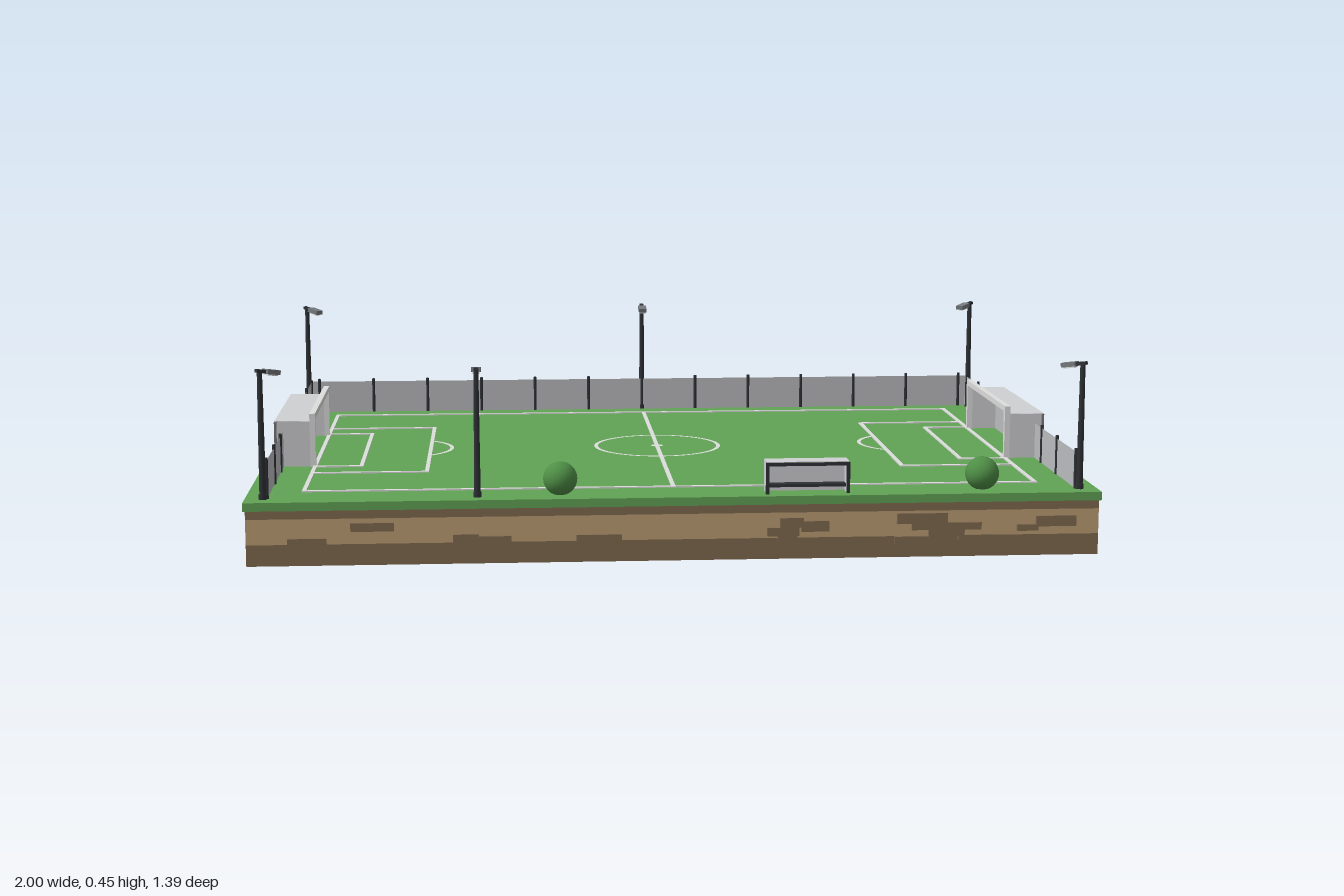
import * as THREE from 'three';

const mat = (name, color, side = THREE.FrontSide) => {
  const m = new THREE.MeshStandardMaterial({ color, side });
  m.name = name;
  return m;
};

export function createModel() {
  const root = new THREE.Group();
  root.name = 'footballPitch';
  const grass = mat('grass green', 0x62a355);
  const bushGreen = mat('bush green', 0x4f8f46);
  const soil = mat('dark soil', 0x826a50);
  const sand = mat('light soil', 0xbf9f76);
  const white = mat('line white', 0xdcdedc);
  const net = mat('net grey', 0xcfd0d2, THREE.DoubleSide);
  const fenceGrey = mat('fence grey', 0xbcbdc0, THREE.DoubleSide);
  const dark = mat('dark metal', 0x2e3135);
  const steel = mat('steel grey', 0x76797d);

  const group = (name, parent = root) => {
    const g = new THREE.Group();
    g.name = name;
    parent.add(g);
    return g;
  };
  const mesh = (parent, name, geo, material, x = 0, y = 0, z = 0) => {
    const m = new THREE.Mesh(geo, material);
    m.name = name;
    m.position.set(x, y, z);
    parent.add(m);
    return m;
  };
  // Box given by its minimum and maximum corners
  const box = (parent, name, material, x0, x1, y0, y1, z0, z1) =>
    mesh(parent, name, new THREE.BoxGeometry(x1 - x0, y1 - y0, z1 - z0), material,
      (x0 + x1) / 2, (y0 + y1) / 2, (z0 + z1) / 2);

  // Layered ground slab
  const G = 0.15;
  const ground = group('ground');
  box(ground, 'lowerSoil', soil, -0.995, 0.995, 0, 0.05, -0.687, 0.687);
  box(ground, 'middleSoil', sand, -0.995, 0.995, 0.05, 0.11, -0.687, 0.687);
  box(ground, 'upperSoil', soil, -0.995, 0.995, 0.11, 0.13, -0.687, 0.687);
  box(ground, 'turf', grass, -1, 1, 0.13, G, -0.692, 0.692);

  // Flat stones set in the long sides: x0, x1, y0, y1
  const stones = group('stones');
  const frontStones = [
    [-0.9, -0.81, 0.05, 0.065], [-0.755, -0.655, 0.08, 0.1], [-0.52, -0.46, 0.037, 0.07],
    [-0.46, -0.385, 0.05, 0.065], [-0.235, -0.13, 0.045, 0.065], [0.24, 0.295, 0.075, 0.098],
    [0.29, 0.355, 0.065, 0.09], [0.21, 0.285, 0.055, 0.075], [0.235, 0.28, 0.045, 0.06],
    [0.515, 0.635, 0.08, 0.105], [0.55, 0.715, 0.065, 0.082], [0.59, 0.675, 0.05, 0.068],
    [0.66, 0.74, 0.04, 0.052], [0.51, 0.6, 0.032, 0.05], [0.845, 0.94, 0.07, 0.095],
    [0.8, 0.85, 0.06, 0.075],
  ];
  const backStones = [
    [-0.88, -0.82, 0.05, 0.07], [-0.73, -0.675, 0.075, 0.095], [-0.52, -0.44, 0.045, 0.07],
    [-0.45, -0.385, 0.06, 0.085], [-0.2, -0.155, 0.06, 0.08], [0.21, 0.29, 0.055, 0.075],
    [0.27, 0.355, 0.07, 0.095], [0.52, 0.64, 0.08, 0.105], [0.56, 0.69, 0.06, 0.08],
    [0.65, 0.74, 0.045, 0.06], [0.775, 0.85, 0.055, 0.075], [0.84, 0.93, 0.07, 0.1],
  ];
  for (const s of frontStones) box(stones, 'frontStone', soil, ...s, 0.68, 0.695);
  for (const s of backStones) box(stones, 'backStone', soil, ...s, -0.695, -0.68);

  // Pitch markings
  const marks = group('pitchMarkings');
  const T = 0.005, top = G + 0.003;
  const lineX = (x0, x1, z) => box(marks, 'line', white, x0 - T, x1 + T, G, top, z - T, z + T);
  const lineZ = (x, z0, z1) => box(marks, 'line', white, x - T, x + T, G, top, z0 - T, z1 + T);
  const ring = (x, r0, r1, start = 0, len = Math.PI * 2) =>
    mesh(marks, 'curvedLine', new THREE.RingGeometry(r0, r1, 48, 1, start, len).rotateX(-Math.PI / 2),
      white, x, top, 0);
  lineZ(0, -0.564, 0.564);
  for (const z of [-0.564, 0.564]) lineX(-0.87, 0.87, z);
  ring(0, 0.155, 0.165);
  ring(0, 0, 0.016);
  for (const s of [-1, 1]) {
    lineZ(s * 0.87, -0.564, 0.564);
    for (const [x, z] of [[0.59, 0.33], [0.755, 0.242]]) {
      lineZ(s * x, -z, z);
      for (const e of [-z, z]) lineX(Math.min(s * x, s * 0.87), Math.max(s * x, s * 0.87), e);
    }
    const half = Math.acos(0.077 / 0.132);
    ring(s * 0.667, 0.127, 0.137, (s > 0 ? Math.PI : 0) - half, half * 2);
  }

  // Goals, built facing -x on the +x end and turned round for the other
  for (const s of [-1, 1]) {
    const goal = group(s > 0 ? 'leftGoal' : 'rightGoal');
    const W = 0.23;
    for (const z of [-W, W]) {
      box(goal, 'goalPost', white, 0.868, 0.882, G, 0.284, z - 0.007, z + 0.007);
      mesh(goal, 'sideNet', new THREE.PlaneGeometry(0.09, 0.113), net, 0.925, 0.2065, z);
      box(goal, 'backPost', steel, 0.964, 0.97, G, 0.263, z - 0.004, z + 0.004);
    }
    box(goal, 'crossbar', white, 0.868, 0.882, 0.27, 0.284, -W, W);
    mesh(goal, 'topNet', new THREE.PlaneGeometry(0.09, 2 * W).rotateX(-Math.PI / 2), net, 0.925, 0.264, 0);
    mesh(goal, 'backNet', new THREE.PlaneGeometry(2 * W, 0.113).rotateY(Math.PI / 2), net, 0.969, 0.2065, 0);
    box(goal, 'backBar', steel, 0.964, 0.97, 0.256, 0.263, -W, W);
    if (s < 0) goal.rotation.y = Math.PI;
  }

  // Fence along the back and both ends
  const fence = group('fence');
  const FX = 0.948, FZ = 0.642, H = 0.088;
  const postGeo = new THREE.CylinderGeometry(0.004, 0.004, 0.096, 8);
  const post = (x, z) => mesh(fence, 'fencePost', postGeo, dark, x, G + 0.048, z);
  mesh(fence, 'backFence', new THREE.PlaneGeometry(2 * FX, H), fenceGrey, 0, G + H / 2, -FZ);
  for (let i = -6; i <= 6; i++) post(i * 0.1545, -FZ);
  for (const s of [-1, 1]) {
    mesh(fence, 'endFence', new THREE.PlaneGeometry(2 * FZ, H).rotateY(Math.PI / 2), fenceGrey, s * FX, G + H / 2, 0);
    for (const z of [-0.62, -0.46, -0.305, 0.305, 0.46, 0.642]) post(s * FX, z);
  }

  // Floodlights; the head reaches along local +z
  const floodlight = (x, z, turn) => {
    const lamp = group('floodlight');
    mesh(lamp, 'pole', new THREE.CylinderGeometry(0.006, 0.008, 0.3, 10), dark, 0, G + 0.15, 0);
    mesh(lamp, 'poleFoot', new THREE.CylinderGeometry(0.01, 0.01, 0.012, 10), dark, 0, G + 0.006, 0);
    const head = group('lampHead', lamp);
    head.position.set(0, 0.449, 0);
    head.rotation.x = 0.17;
    box(head, 'arm', dark, -0.005, 0.005, -0.004, 0.004, -0.01, 0.03);
    box(head, 'housing', steel, -0.011, 0.011, -0.005, 0.006, 0.016, 0.054);
    box(head, 'lens', white, -0.008, 0.008, -0.008, -0.005, 0.02, 0.05);
    lamp.position.set(x, 0, z);
    lamp.rotation.y = turn;
  };
  for (const sx of [-1, 1]) for (const sz of [-1, 1])
    floodlight(sx * 0.957, sz * 0.647, Math.atan2(-sx, -sz));
  floodlight(0, -0.65, 0);
  floodlight(-0.463, 0.65, Math.PI);

  // Bushes
  for (const x of [-0.27, 0.728])
    mesh(root, 'bush', new THREE.SphereGeometry(0.04, 24, 16), bushGreen, x, 0.186, 0.625);

  // Team shelter with its open side to the front
  const shelter = group('shelter');
  box(shelter, 'roof', net, 0.21, 0.405, 0.219, 0.226, 0.617, 0.665);
  box(shelter, 'backWall', net, 0.21, 0.405, G, 0.219, 0.617, 0.623);
  for (const x of [0.21, 0.4]) {
    box(shelter, 'sideWall', net, x, x + 0.005, G, 0.219, 0.623, 0.663);
    box(shelter, 'frontUpright', dark, x - 0.001, x + 0.007, G, 0.224, 0.661, 0.667);
  }
  box(shelter, 'frontBeam', dark, 0.21, 0.405, 0.216, 0.224, 0.661, 0.667);
  box(shelter, 'seat', dark, 0.215, 0.4, 0.163, 0.17, 0.625, 0.65);

  return root;
}
